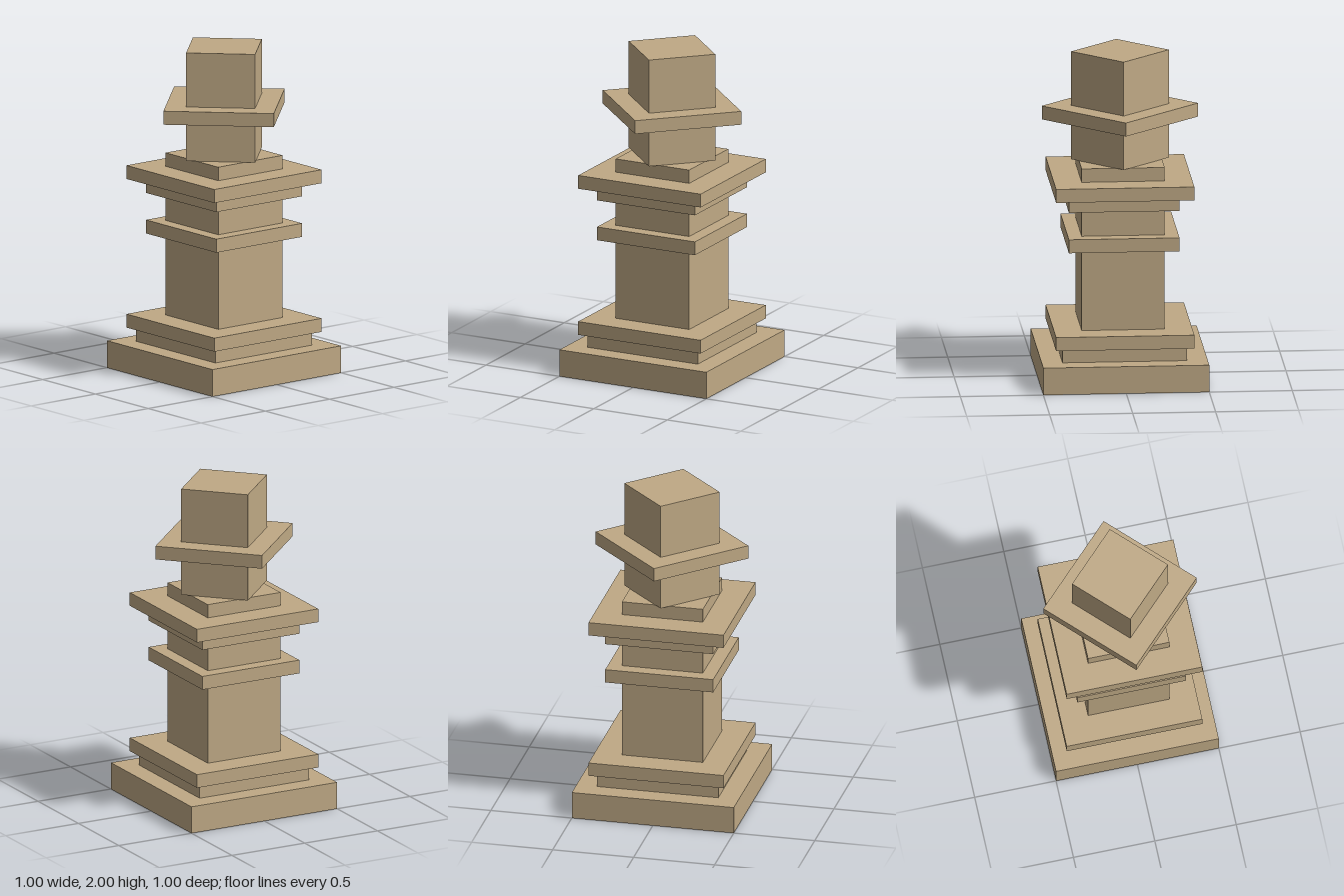
import * as THREE from 'three';

// Square stone pedestal on a 1/12 unit grid, with a block turned 45 degrees on top
export function createModel() {
  const model = new THREE.Group();
  const stone = new THREE.MeshStandardMaterial({ color: 0xbfa985 });
  stone.name = 'sandstone';
  const u = 1 / 12;

  // Square slab: half width, bottom and top in grid units
  function slab(parent, name, half, bottom, top) {
    const mesh = new THREE.Mesh(
      new THREE.BoxGeometry(half * 2 * u, (top - bottom) * u, half * 2 * u), stone);
    mesh.position.y = ((bottom + top) / 2) * u;
    mesh.name = name;
    parent.add(mesh);
  }

  // Stepped foot, shaft and mouldings
  slab(model, 'plinth', 6, 0, 2);
  slab(model, 'footStep', 4.5, 2, 3);
  slab(model, 'footMoulding', 5, 3, 4);
  slab(model, 'shaft', 3, 4, 16);
  slab(model, 'shaftBand', 4, 10, 11);
  slab(model, 'capitalStep', 4, 13, 14);
  slab(model, 'capitalMoulding', 5, 14, 15);

  // Turned block with its collar
  const head = new THREE.Group();
  head.name = 'turnedHead';
  head.rotation.y = Math.PI / 4;
  slab(head, 'headBlock', 2.5, 16, 24);
  slab(head, 'headCollar', 4, 19, 20);
  model.add(head);

  return model;
}
